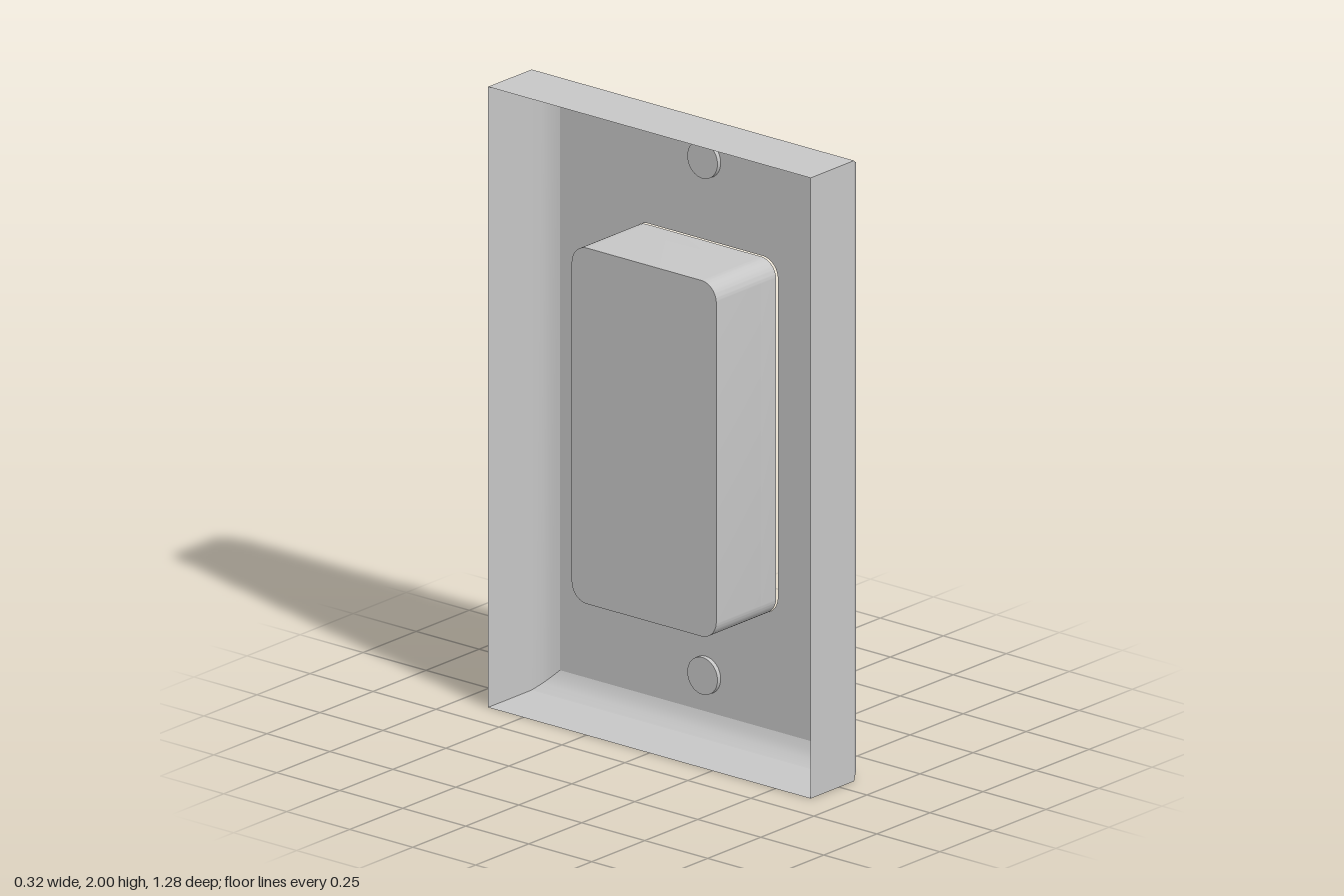
import * as THREE from 'three';
import { toCreasedNormals } from 'three/addons/utils/BufferGeometryUtils.js';

// Everything is drawn facing local +z, then turned to face +x.
const W = 0.64, H = 2, FRONT = 0.13;

function roundedRect(halfW, y0, y1, r, Type = THREE.Shape) {
  const s = new Type();
  s.moveTo(-halfW + r, y0);
  s.lineTo(halfW - r, y0);
  s.absarc(halfW - r, y0 + r, r, -Math.PI / 2, 0);
  s.lineTo(halfW, y1 - r);
  s.absarc(halfW - r, y1 - r, r, 0, Math.PI / 2);
  s.lineTo(-halfW + r, y1);
  s.absarc(-halfW + r, y1 - r, r, Math.PI / 2, Math.PI);
  s.lineTo(-halfW, y0 + r);
  s.absarc(-halfW + r, y0 + r, r, Math.PI, Math.PI * 1.5);
  return s;
}

function rectHole(x0, x1, y0, y1) {
  return new THREE.Path([[x0, y0], [x1, y0], [x1, y1], [x0, y1], [x0, y0]].map(p => new THREE.Vector2(...p)));
}

// Ground hole: square bottom with an arched top
function groundHole(y) {
  const p = new THREE.Path();
  p.moveTo(-0.05, y);
  p.lineTo(0.05, y);
  p.lineTo(0.05, y + 0.05);
  p.absarc(0, y + 0.05, 0.05, 0, Math.PI);
  p.lineTo(-0.05, y);
  return p;
}

function extrude(shape, z0, z1) {
  const g = new THREE.ExtrudeGeometry(shape, { depth: z1 - z0, bevelEnabled: false, curveSegments: 10 });
  g.translate(0, 0, z0);
  return toCreasedNormals(g, 0.6);
}

// One wall of the hollow cover with its rounded front edge, mitred at both ends
function wallGeometry(c0, c1) {
  const profile = [[-0.135, 0], [0.07, 0], [0.1, 0.018], [0.118, 0.038], [FRONT, 0.062]];
  const pos = [], index = [];
  profile.forEach(([z, inset], i) => {
    for (const [sx, sy] of [c0, c1]) pos.push(sx * (W - inset), H / 2 + sy * (H / 2 - inset), z);
    if (i) {
      const k = 2 * i;
      index.push(k - 2, k - 1, k + 1, k - 2, k + 1, k);
    }
  });
  const g = new THREE.BufferGeometry();
  g.setAttribute('position', new THREE.Float32BufferAttribute(pos, 3));
  g.setIndex(index);
  return toCreasedNormals(g, 0.45);
}

// Half of a domed screw head, right of the slot
function headHalfGeometry() {
  const r = 0.06, slot = 0.012, a = Math.acos(slot / r);
  const s = new THREE.Shape();
  s.absarc(0, 0, r, -a, a);
  const end = r * Math.sin(a);
  for (let i = 1; i < 8; i++) s.lineTo(slot, end * (1 - i / 4));
  const g = new THREE.ExtrudeGeometry(s, { depth: 0.02, bevelEnabled: false, curveSegments: 16 });
  const p = g.attributes.position;
  for (let i = 0; i < p.count; i++) {
    if (p.getZ(i) > 0.01) p.setZ(i, 0.02 - 0.011 * (p.getX(i) ** 2 + p.getY(i) ** 2) / (r * r));
  }
  return toCreasedNormals(g, 0.5);
}

export function createModel() {
  const model = new THREE.Group();
  const unit = new THREE.Group();
  unit.name = 'wallOutlet';
  unit.rotation.y = Math.PI / 2;
  model.add(unit);

  const plastic = new THREE.MeshStandardMaterial({ color: 0xc6c6c6, side: THREE.DoubleSide });
  plastic.name = 'light grey plastic';
  const add = (name, geometry, parent = unit) => {
    const m = new THREE.Mesh(geometry, plastic);
    m.name = name;
    parent.add(m);
    return m;
  };

  // Hollow cover plate, open at the back
  const cover = new THREE.Group();
  cover.name = 'coverPlate';
  unit.add(cover);
  const corners = [[-1, -1], [1, -1], [1, 1], [-1, 1]];
  ['bottomWall', 'rightWall', 'topWall', 'leftWall'].forEach((name, i) =>
    add(name, wallGeometry(corners[i], corners[(i + 1) % 4]), cover));
  const face = new THREE.Shape([[-1, -1], [1, -1], [1, 1], [-1, 1]].map(
    ([x, y]) => new THREE.Vector2(x * (W - 0.062), 1 + y * 0.938)));
  face.holes.push(roundedRect(0.287, 0.435, 1.582, 0.06, THREE.Path));
  add('coverFace', new THREE.ShapeGeometry(face, 10).translate(0, 0, FRONT), cover);

  // Receptacle body: solid back, pierced front, slightly inset face
  const receptacle = new THREE.Group();
  receptacle.name = 'receptacle';
  unit.add(receptacle);
  const outer = () => roundedRect(0.287, 0.435, 1.582, 0.06);
  const pierce = shape => {
    for (const y of [0, 0.66]) {
      shape.holes.push(
        rectHole(-0.135, -0.089, 0.66 + y, 0.818 + y),
        rectHole(0.089, 0.135, 0.672 + y, 0.8 + y),
        groundHole(0.48 + y));
    }
    return shape;
  };
  add('receptacleBack', extrude(outer(), -0.16, 0.05), receptacle);
  add('receptacleFront', extrude(pierce(outer()), 0.05, 0.122), receptacle);
  add('receptacleFace', extrude(pierce(roundedRect(0.277, 0.445, 1.572, 0.05)), 0.122, FRONT), receptacle);

  // Slotted screws above and below
  for (const [name, y] of [['topScrew', 1.843], ['bottomScrew', 0.18]]) {
    const screw = new THREE.Group();
    screw.name = name;
    screw.position.set(0, y, 0);
    unit.add(screw);
    add('screwBase', new THREE.CylinderGeometry(0.06, 0.06, 0.022, 32).rotateX(Math.PI / 2).translate(0, 0, 0.126), screw);
    for (const turn of [0, Math.PI]) {
      const half = add('screwHeadHalf', headHalfGeometry(), screw);
      half.position.z = 0.136;
      half.rotation.z = turn;
    }
  }
  return model;
}
